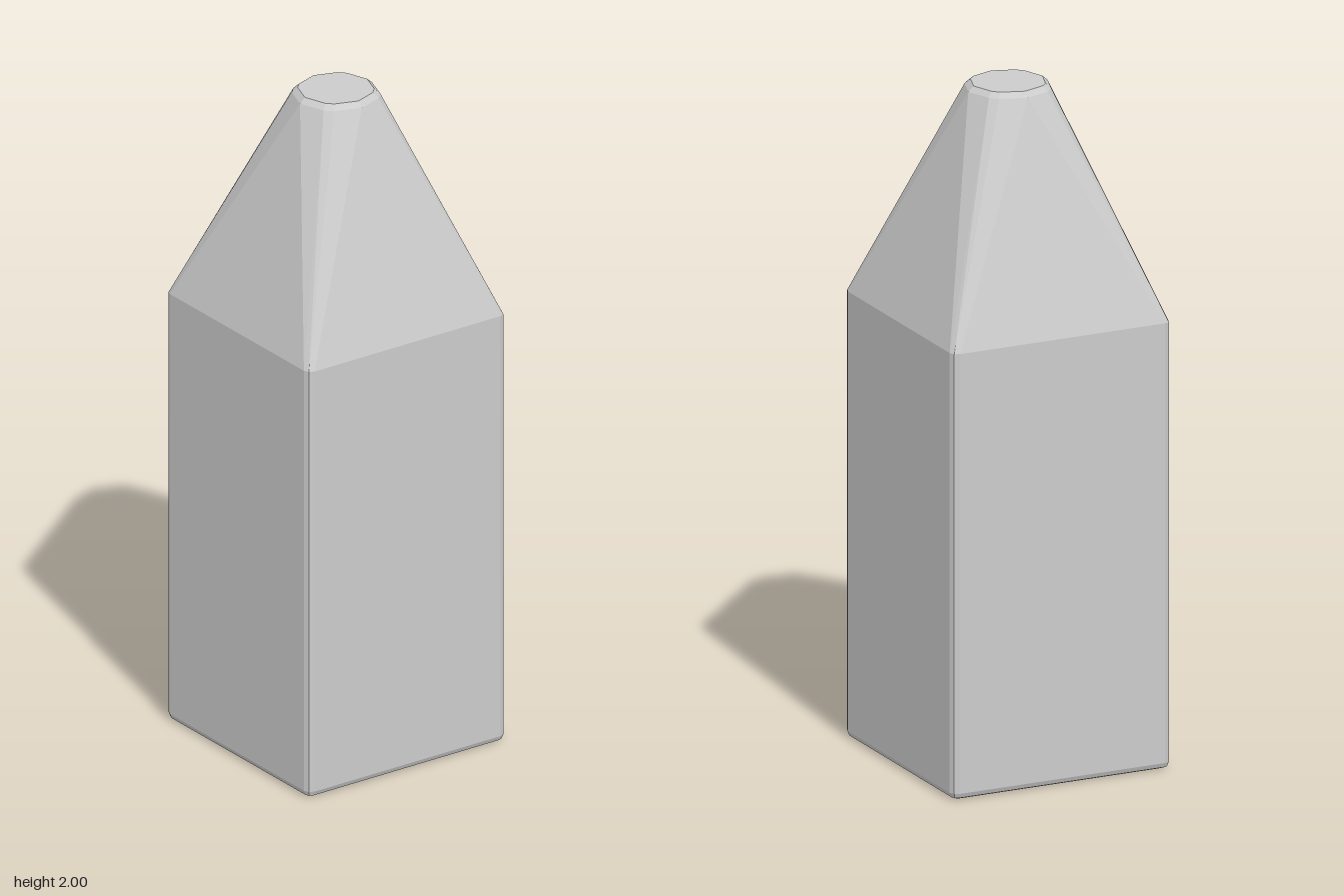
import * as THREE from 'three';
import { ConvexGeometry } from 'three/addons/geometries/ConvexGeometry.js';

// Square ring with softened corners: half-width h, corner cut c
function squareRing(y, h, c) {
  const points = [];
  for (const sx of [-1, 1]) for (const sz of [-1, 1]) {
    for (const [x, z] of [[h, h - c], [h - c * 0.3, h - c * 0.3], [h - c, h]]) {
      points.push(new THREE.Vector3(sx * x, y, sz * z));
    }
  }
  return points;
}

// Twelve-sided ring: one point on each axis and a pair at each diagonal
function neckRing(y, r) {
  const points = [];
  for (let q = 0; q < 4; q++) {
    for (const degrees of [0, 38, 52]) {
      const a = THREE.MathUtils.degToRad(q * 90 + degrees);
      points.push(new THREE.Vector3(r * Math.cos(a), y, r * Math.sin(a)));
    }
  }
  return points;
}

export function createModel() {
  const group = new THREE.Group();
  const material = new THREE.MeshStandardMaterial({ color: 0xcccccc, flatShading: true });

  // Square body with bevelled base, tapering to a bevelled round tip
  const body = new THREE.Mesh(new ConvexGeometry([
    ...squareRing(0, 0.327, 0.006),
    ...squareRing(0.006, 0.341, 0.015),
    ...squareRing(0.02, 0.347, 0.022),
    ...squareRing(1.33, 0.347, 0.022),
    ...neckRing(1.985, 0.126),
    ...neckRing(2, 0.109),
  ]), material);
  body.name = 'taperedBody';
  group.add(body);
  return group;
}
